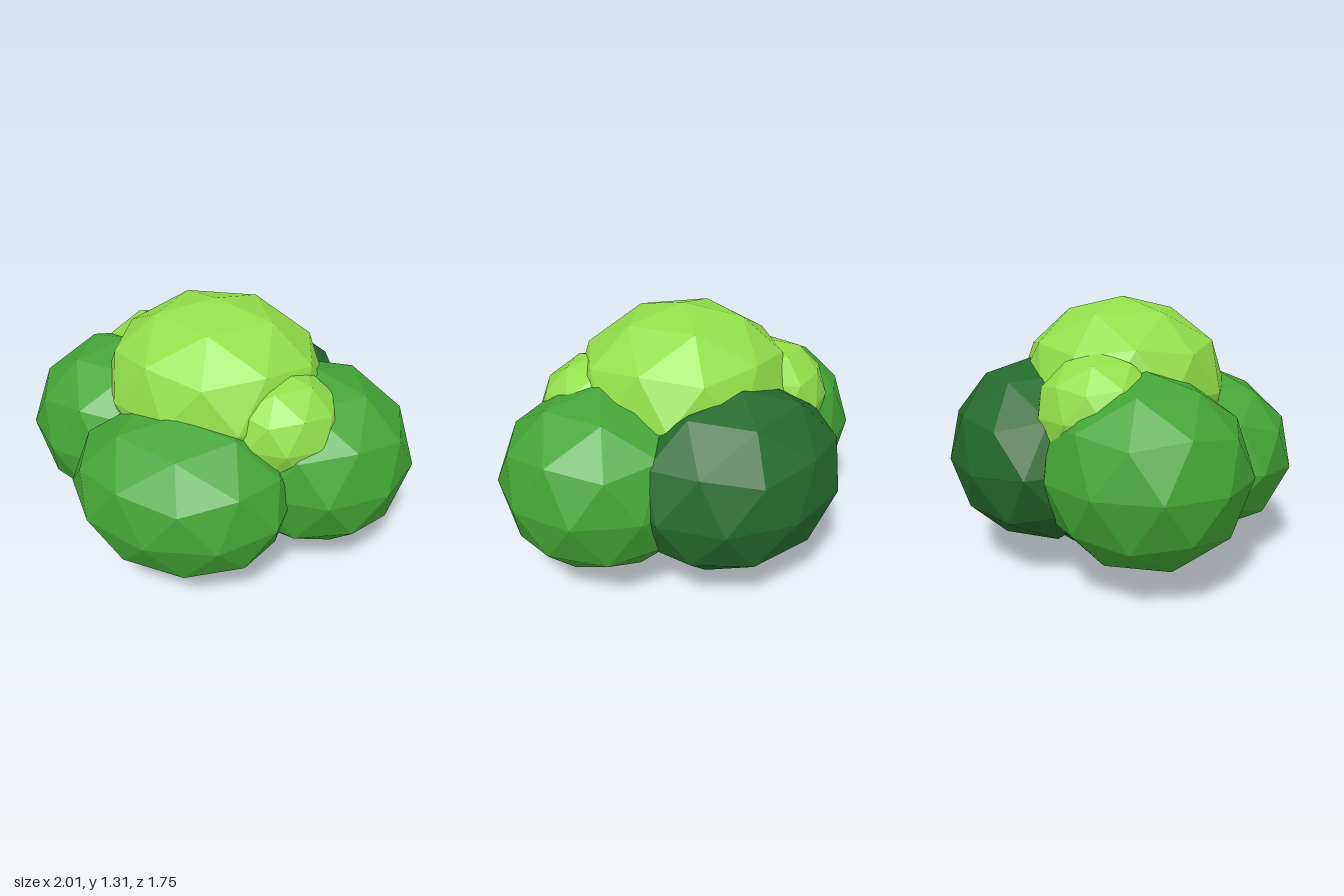
import * as THREE from 'three';

const LEAF = 0x43a535, LIGHT = 0x92de4a, DARK = 0x256a2c, BARK = 0x5a3320;

const material = (color) => {
  const m = new THREE.MeshStandardMaterial({ color });
  m.flatShading = true;
  return m;
};

// 80-faced ball standing on a vertex, with a corner facing +z and -z
function ballGeometry() {
  const g = new THREE.IcosahedronGeometry(1, 1);
  g.rotateX(-Math.atan((1 + Math.sqrt(5)) / 2));
  g.rotateY(Math.PI / 2);
  return g;
}

export function createModel() {
  const group = new THREE.Group();
  const ball = ballGeometry();

  // name, colour, centre, radii, rotation in degrees (x, y)
  const clumps = [
    ['coreFoliage', DARK, [0, 0.42, 0], [0.59, 0.405, 0.57], [0, 0]],
    ['frontFoliage', LEAF, [0, 0.51, 0.44], [0.555, 0.42, 0.435], [7, 0]],
    ['backFoliage', DARK, [0, 0.56, -0.42], [0.575, 0.46, 0.46], [-5, 0]],
    ['leftFoliage', LEAF, [0.5, 0.55, -0.04], [0.51, 0.46, 0.495], [0, -11]],
    ['rightFoliage', LEAF, [-0.5, 0.55, 0], [0.51, 0.46, 0.49], [0, 12]],
    ['topFoliage', LIGHT, [0, 0.87, 0], [0.56, 0.44, 0.525], [0, -5]],
    ['leftSprig', LIGHT, [0.39, 0.8, 0.16], [0.3, 0.28, 0.3], [0, -12]],
    ['rightSprig', LIGHT, [-0.4, 0.81, -0.19], [0.3, 0.28, 0.3], [0, 12]],
  ];
  for (const [name, color, centre, radii, [rx, ry]] of clumps) {
    const mesh = new THREE.Mesh(ball, material(color));
    mesh.name = name;
    mesh.position.set(...centre);
    mesh.scale.set(...radii);
    mesh.rotation.set(THREE.MathUtils.degToRad(rx), THREE.MathUtils.degToRad(ry), 0);
    group.add(mesh);
  }

  // Square trunk, its foot just showing under the leaves
  const trunkGeometry = new THREE.CylinderGeometry(0.17, 0.13, 0.03, 4);
  trunkGeometry.rotateY(Math.PI / 4);
  const trunk = new THREE.Mesh(trunkGeometry, material(BARK));
  trunk.name = 'trunk';
  trunk.position.y = 0.015;
  group.add(trunk);

  return group;
}
